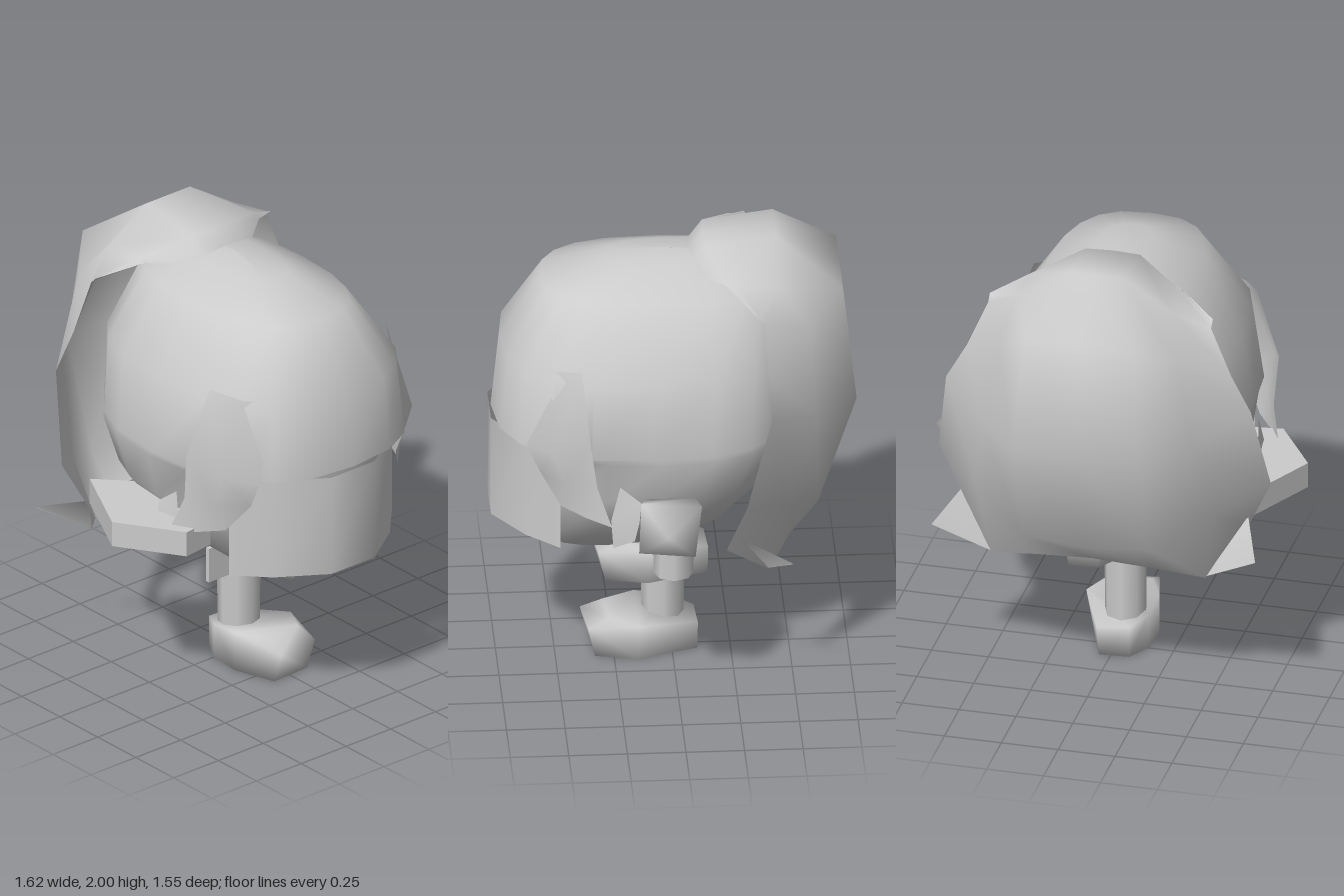
import * as THREE from 'three';
import { toCreasedNormals } from 'three/addons/utils/BufferGeometryUtils.js';
import { ConvexGeometry } from 'three/addons/geometries/ConvexGeometry.js';

const solid = new THREE.MeshStandardMaterial({ color: 0xcccccc });
const shell = new THREE.MeshStandardMaterial({ color: 0xcccccc, side: THREE.DoubleSide });

function part(name, geometry, material = solid) {
  const mesh = new THREE.Mesh(geometry, material);
  mesh.name = name;
  return mesh;
}

// Surface through rows of equally many points
function loft(rows, crease = 1) {
  const n = rows[0].length, index = [];
  for (let i = 0; i < rows.length - 1; i++) {
    for (let j = 0; j < n - 1; j++) {
      const a = i * n + j, b = a + 1, c = a + n, d = c + 1;
      index.push(a, c, b, b, c, d);
    }
  }
  const g = new THREE.BufferGeometry();
  g.setAttribute('position', new THREE.Float32BufferAttribute(rows.flat(2), 3));
  g.setIndex(index);
  return toCreasedNormals(g, crease);
}

// Solid wrapped around a few corner points
function hull(points, crease = 2) {
  const g = new ConvexGeometry(points.map((p) => new THREE.Vector3(...p)));
  return toCreasedNormals(g, crease);
}

const mirror = (p) => [-p[0] - 0.04, p[1], p[2]];

export function createModel() {
  const model = new THREE.Group();

  // Head: rings [y, half width, front z, back z, roundness], fringe hem at 1.17
  const rings = [
    [1.9, 0.002, 0.002, -0.002, 1], [1.88, 0.13, 0.28, -0.3, 0.8], [1.79, 0.32, 0.56, -0.45, 0.75],
    [1.5, 0.515, 0.735, -0.54, 0.75], [1.17, 0.565, 0.77, -0.54, 0.8], [1.14, 0.56, 0.68, -0.54, 0.82],
    [0.95, 0.53, 0.66, -0.46, 0.85], [0.72, 0.38, 0.63, -0.25, 0.8], [0.59, 0.22, 0.56, -0.02, 0.75],
    [0.53, 0.002, 0.342, 0.338, 1],
  ];
  const sides = 20;
  const round = (v, power) => Math.sign(v) * Math.abs(v) ** power;
  model.add(part('head', loft(rings.map(([y, w, front, back, power]) =>
    Array.from({ length: sides + 1 }, (_, k) => {
      const a = (k / sides) * Math.PI * 2;
      return [round(Math.sin(a), power) * w - 0.01, y,
        (front + back) / 2 + round(Math.cos(a), power) * (front - back) / 2];
    })))));

  // Face band around the lower front
  const band = [[-0.48, 0.5], [-0.35, 0.64], [-0.14, 0.775], [0.1, 0.775], [0.3, 0.64], [0.43, 0.5]];
  model.add(part('faceBand', loft([1.16, 0.7].map((y) => band.map(([x, z]) => [x, y, z]))), shell));

  // Back hair: half rows from the middle to the side edge, mirrored
  const half = [
    [[-0.02, 1.89, -0.07], [0.1, 1.85, -0.06], [0.3, 1.865, -0.22], [0.47, 1.8, -0.34]],
    [[-0.02, 1.96, -0.13], [0.1, 1.96, -0.14], [0.31, 1.875, -0.26], [0.47, 1.79, -0.35]],
    [[-0.02, 2, -0.44], [0.1, 2, -0.44], [0.32, 1.86, -0.44], [0.47, 1.77, -0.37]],
    [[-0.02, 1.8, -0.72], [0.22, 1.8, -0.72], [0.37, 1.7, -0.57], [0.56, 1.56, -0.38]],
    [[-0.02, 1.29, -0.775], [0.26, 1.29, -0.775], [0.44, 1.3, -0.59], [0.65, 1.4, -0.39]],
    [[-0.02, 0.77, -0.6], [0.26, 0.8, -0.61], [0.5, 0.92, -0.46], [0.71, 1.01, -0.28]],
    [[-0.02, 0.68, -0.52], [0.26, 0.65, -0.49], [0.45, 0.58, -0.39], [0.59, 0.75, -0.2]],
  ];
  model.add(part('backHair', loft(half.map((r) =>
    [...r.slice(1).reverse().map(mirror), ...r]), 1.3), shell));

  // Paired strands of hair, their roots sunk into the head
  const strands = {
    frontLock: [
      [[0.28, 1.52, 0.61], [0.39, 1.53, 0.54], [0.47, 1.56, 0.41]],
      [[0.385, 1.17, 0.64], [0.51, 1.2, 0.54], [0.575, 1.27, 0.38]],
      [[0.385, 1.04, 0.58], [0.5, 1.04, 0.48], [0.56, 1.05, 0.35]],
      [[0.46, 0.92, 0.5], [0.54, 0.9, 0.4], [0.6, 0.88, 0.29]],
    ],
    earLock: [
      [[0.52, 1.03, 0.25], [0.54, 0.96, 0.16]], [[0.54, 0.88, 0.29], [0.56, 0.88, 0.17]],
      [[0.54, 0.75, 0.28], [0.56, 0.79, 0.19]],
    ],
    backSpike: [
      [[0.6, 0.82, -0.24], [0.45, 0.585, -0.385]], [[0.69, 0.73, -0.475], [0.69, 0.725, -0.475]],
    ],
  };
  for (const [name, rows] of Object.entries(strands)) {
    model.add(part(name + 'Left', loft(rows), shell));
    model.add(part(name + 'Right', loft(rows.map((r) => r.map(mirror))), shell));
  }

  // Left arm and fist
  const arm = part('leftArm', new THREE.CylinderGeometry(0.085, 0.085, 0.32, 8));
  arm.position.set(0.405, 0.715, 0.015);
  model.add(arm);
  model.add(part('leftFist', hull([
    [0.54, 0.98, 0.14], [0.54, 0.98, -0.07], [0.55, 0.82, 0.14], [0.55, 0.82, -0.06],
    [0.68, 1.03, 0.17], [0.66, 1.0, -0.09], [0.69, 0.8, 0.18], [0.7, 0.78, -0.06],
    [0.81, 0.93, 0.06],
  ])));

  // Right arm swung out as a flat wedge
  const outline = [[-0.62, -0.25], [-0.81, 0.12], [-0.63, 0.4], [-0.48, 0.38], [-0.48, -0.1]];
  model.add(part('rightArm', hull(outline.flatMap(([x, z]) => [[x, 0.8, z], [x, 0.915, z]]), 1)));

  // Standing leg
  const leg = part('leg', new THREE.CylinderGeometry(0.095, 0.09, 0.55, 8));
  leg.position.set(-0.03, 0.375, 0.035);
  model.add(leg);

  // Standing foot and raised foot share one blunt-toed shape
  const foot = hull([
    [-0.08, 0, -0.1], [0.05, 0, -0.11], [0.14, 0, 0.15], [0.1, 0, 0.33], [-0.09, 0, 0.34],
    [-0.15, 0, 0.15], [-0.14, 0, 0], [-0.08, 0.14, -0.1], [0.06, 0.13, -0.11],
    [0.17, 0.17, 0.14], [0.12, 0.14, 0.36], [-0.09, 0.14, 0.385], [0.1, 0.18, 0.27],
    [-0.08, 0.18, 0.29], [-0.15, 0.18, 0.15], [-0.14, 0.16, 0],
  ]);
  model.add(part('standingFoot', foot));
  const raised = part('raisedFoot', foot);
  raised.position.set(0.125, 0.43, -0.035);
  model.add(raised);

  // Thin cloth panel beside the raised foot
  const panel = part('clothPanel', new THREE.BoxGeometry(0.46, 0.16, 0.02));
  panel.position.set(-0.03, 0.52, 0.1);
  model.add(panel);

  return model;
}
